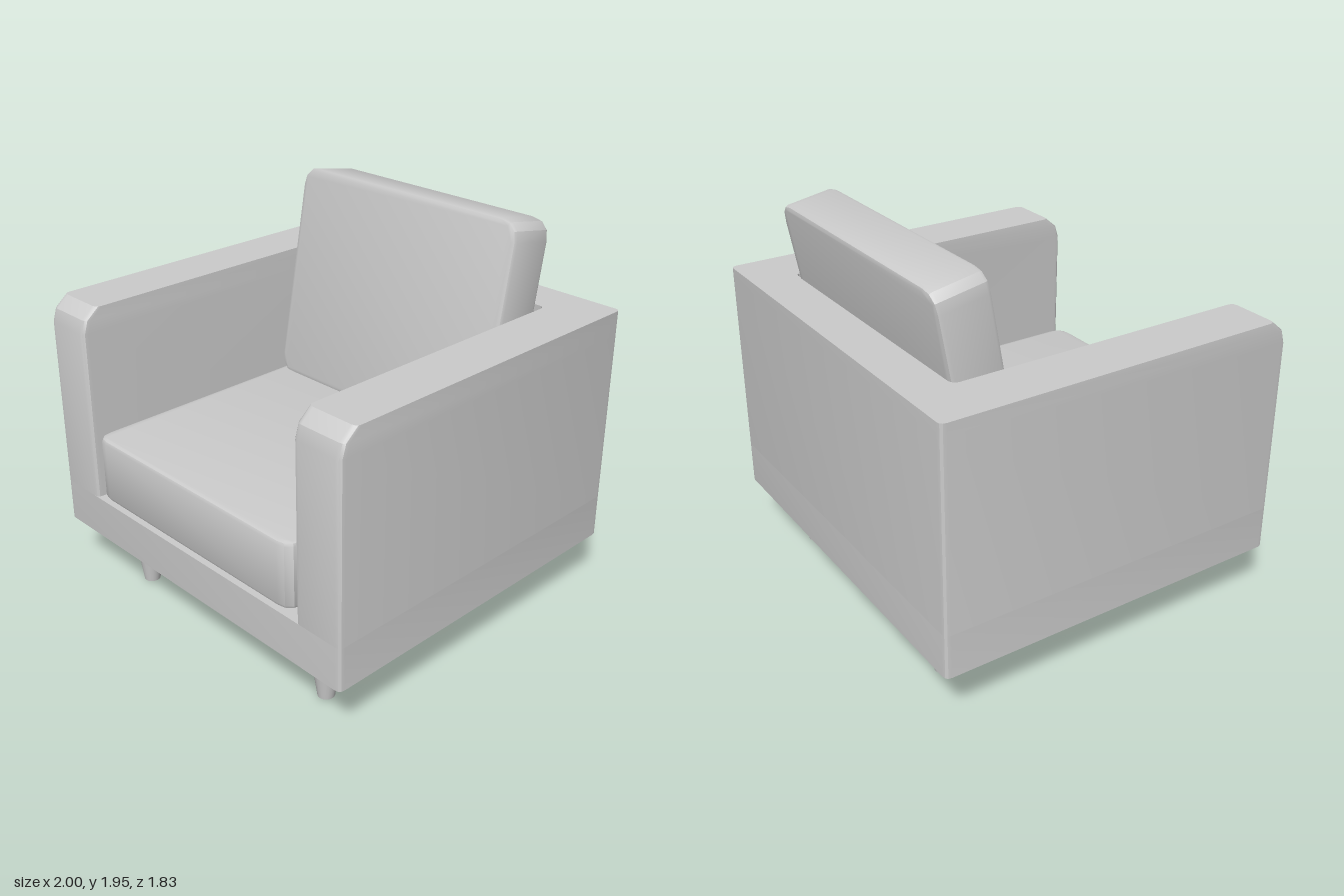
import * as THREE from 'three';
import { toCreasedNormals } from 'three/addons/utils/BufferGeometryUtils.js';

const material = new THREE.MeshStandardMaterial({ color: 0xcccccc });

// Closed outline whose corners are [x, y, radius]
function roundedOutline(corners) {
  const shape = new THREE.Shape();
  const n = corners.length;
  corners.forEach(([x, y, r], i) => {
    const towards = ([px, py]) => {
      const d = Math.hypot(px - x, py - y);
      return [x + ((px - x) * r) / d, y + ((py - y) * r) / d];
    };
    const a = towards(corners[(i + n - 1) % n]);
    const b = towards(corners[(i + 1) % n]);
    if (i === 0) shape.moveTo(...a);
    else shape.lineTo(...a);
    shape.quadraticCurveTo(x, y, ...b);
  });
  shape.closePath();
  return shape;
}

function rectangle(w, h, r) {
  return roundedOutline([[-w / 2, -h / 2, r], [w / 2, -h / 2, r], [w / 2, h / 2, r], [-w / 2, h / 2, r]]);
}

function addMesh(group, name, geometry, crease = 0.5) {
  const mesh = new THREE.Mesh(toCreasedNormals(geometry, crease), material);
  mesh.name = name;
  group.add(mesh);
  return mesh;
}

// Cushion centred on the origin, thickness along z, with a small bevel all round
function cushion(w, h, thickness, r) {
  const bevel = 0.02;
  const geometry = new THREE.ExtrudeGeometry(rectangle(w - 2 * bevel, h - 2 * bevel, r), {
    depth: thickness - 2 * bevel, bevelThickness: bevel, bevelSize: bevel, bevelSegments: 2, curveSegments: 3,
  });
  return geometry.translate(0, 0, bevel - thickness / 2);
}

export function createModel() {
  const group = new THREE.Group();
  const halfDepth = 0.915, floor = 0.295, deck = 0.515, top = 1.51, inner = 0.73;

  // Base slab
  const base = new THREE.ExtrudeGeometry(rectangle(2, 2 * halfDepth, 0.03), {
    depth: deck - floor, bevelEnabled: false, curveSegments: 3,
  });
  addMesh(group, 'base', base.rotateX(-Math.PI / 2).translate(0, floor, 0));

  // Arms and back in one U-shaped plan; the arm fronts roll back at the top
  const plan = roundedOutline([
    [-1, -halfDepth, 0.03], [-inner, -halfDepth, 0.03], [-inner, 0.69, 0.03], [inner, 0.69, 0.03],
    [inner, -halfDepth, 0.03], [1, -halfDepth, 0.03], [1, halfDepth, 0.03], [-1, halfDepth, 0.03],
  ]);
  const rows = [[deck, 0], [1.39, 0], [1.455, 0.02], [top, 0.085]];
  const shell = new THREE.ExtrudeGeometry(plan, { depth: 3, steps: 3, bevelEnabled: false, curveSegments: 3 });
  shell.rotateX(-Math.PI / 2);
  const p = shell.attributes.position;
  for (let i = 0; i < p.count; i++) {
    const [y, setback] = rows[Math.round(p.getY(i))];
    p.setY(i, y);
    if (p.getZ(i) > 0) p.setZ(i, p.getZ(i) - setback);
  }
  addMesh(group, 'armsAndBack', shell);

  // Cushions sit slightly off centre
  const seat = addMesh(group, 'seatCushion', cushion(1.4, 1.57, 0.335, 0.06).rotateX(-Math.PI / 2));
  seat.position.set(-0.02, 0.6925, 0.117);
  const back = addMesh(group, 'backCushion', cushion(1.4, 1.12, 0.26, 0.08));
  back.position.set(-0.02, 1.376, -0.538);
  back.rotation.x = -0.18;

  // Tapered legs
  for (const x of [-0.615, 0.7]) {
    for (const z of [-0.7, 0.705]) {
      const leg = addMesh(group, 'leg', new THREE.CylinderGeometry(0.081, 0.041, floor, 20));
      leg.position.set(x, floor / 2, z);
    }
  }
  return group;
}
